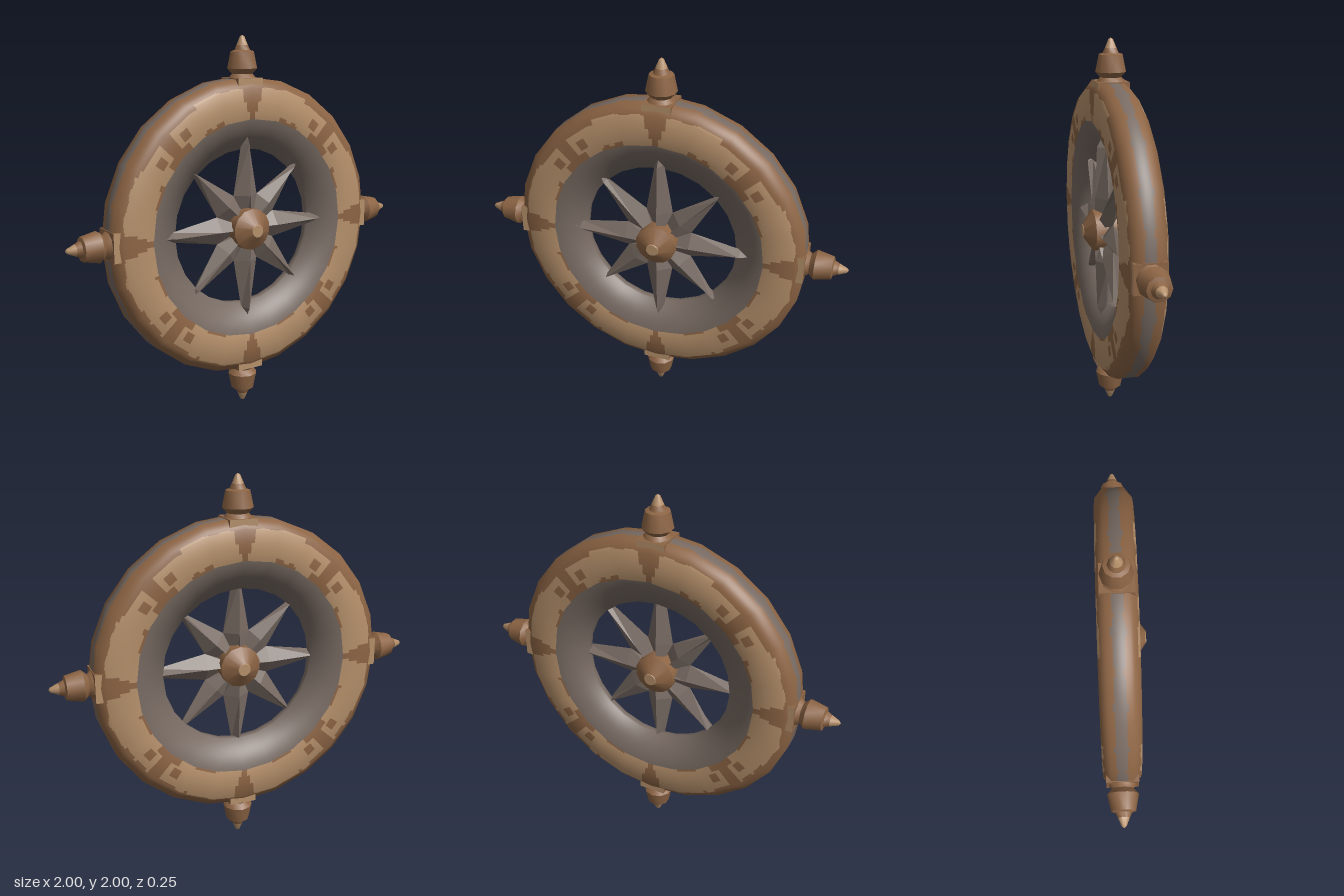
import * as THREE from 'three';
import { toCreasedNormals } from 'three/addons/utils/BufferGeometryUtils.js';

const mat = (name, color) => {
  const m = new THREE.MeshStandardMaterial({ color });
  m.name = name;
  return m;
};
const V = (x, y) => new THREE.Vector2(x, y);
const RING_Z = -0.027;
const DEG = Math.PI / 180;

// Which material (0 tan, 1 brown, 2 grey) a spot on the rim gets
function rimPaint(theta, r, z) {
  const deg = (((theta / DEG) % 90) + 90) % 90;
  const a = deg > 45 ? 90 - deg : deg; // degrees from the nearest handle
  const wobble = 0.004 * Math.sin(theta * 17) + 0.003 * Math.sin(theta * 41);
  if (r > 0.785) return Math.abs(z) < 0.028 + wobble ? 2 : 1;
  if (r < 0.58) return 2;
  const side = r * Math.sin(a * DEG);
  if (side < 0.022 + 0.045 * Math.max(0, (r - 0.61) / 0.13)) return 1;
  const dot = Math.hypot(r * Math.cos(a * DEG) - 0.53, side - 0.395);
  if (dot < 0.03) return 1;
  if (a > 42 - Math.abs(r - 0.68) * 12) return 1;
  const outer = (a > 27 ? 0.728 : 0.748) + wobble;
  const inner = a > 38 ? 0.62 : a > 17 && a < 29 ? 0.597 + wobble : 0.58;
  return r > outer || r < inner ? 1 : 0;
}

// 24-sided rim with a bevelled section, finely divided so it can be painted by rule
function rimGeometry() {
  const prof = [
    [0.79, -0.055], [0.79, 0.055], [0.738, 0.0975], [0.58, 0.0975],
    [0.42, 0.02], [0.42, -0.02], [0.58, -0.0975], [0.738, -0.0975],
  ].map(p => V(...p));
  const n = prof.length, sides = 24, subT = 10, subP = 12;
  const edge = prof.map((p, k) => {
    const d = prof[(k + 1) % n].clone().sub(p).normalize();
    return V(d.y, -d.x);
  });
  const corner = edge.map((e, k) => e.clone().add(edge[(k + n - 1) % n]).normalize());
  const rows = n * subP, cols = sides * subT;
  const pos = [], nor = [], faces = [[], [], []];
  for (let i = 0; i <= cols; i++) {
    const s = Math.floor(i / subT), f = (i % subT) / subT;
    const t0 = s * 2 * Math.PI / sides, t1 = (s + 1) * 2 * Math.PI / sides;
    const cx = THREE.MathUtils.lerp(Math.cos(t0), Math.cos(t1), f);
    const cy = THREE.MathUtils.lerp(Math.sin(t0), Math.sin(t1), f);
    const len = Math.hypot(cx, cy);
    for (let j = 0; j <= rows; j++) {
      const k = Math.floor(j / subP) % n, g = (j % subP) / subP;
      const p = prof[k].clone().lerp(prof[(k + 1) % n], g);
      const q = corner[k].clone().lerp(corner[(k + 1) % n], g).normalize();
      pos.push(p.x * cx, p.x * cy, p.y);
      nor.push(q.x * cx / len, q.x * cy / len, q.y);
      if (i === cols || j === rows) continue;
      const mid = prof[k].clone().lerp(prof[(k + 1) % n], g + 0.5 / subP);
      const a = i * (rows + 1) + j, b = a + rows + 1;
      faces[rimPaint((i + 0.5) / cols * 2 * Math.PI, mid.x, mid.y)]
        .push(a, b, a + 1, b, b + 1, a + 1);
    }
  }
  const geo = new THREE.BufferGeometry();
  geo.setAttribute('position', new THREE.Float32BufferAttribute(pos, 3));
  geo.setAttribute('normal', new THREE.Float32BufferAttribute(nor, 3));
  geo.setIndex(faces.flat());
  let start = 0;
  faces.forEach((list, m) => {
    geo.addGroup(start, list.length, m);
    start += list.length;
  });
  return geo;
}

// One ridged star point along +y
function spokeGeometry(long) {
  const valley = [0.19 * Math.sin(22.5 * DEG), 0.19 * Math.cos(22.5 * DEG)];
  const sections = long // half width, distance from hub, half thickness
    ? [[0, 0, 0.06], [...valley, 0.055], [0.025, 0.445, 0.045], [0.003, 0.495, 0.02]]
    : [[0, 0, 0.06], [...valley, 0.045], [0.012, 0.425, 0.03], [0.002, 0.445, 0.02]];
  const loops = sections.map(([w, y, d]) => [[w, y, 0], [0, y, d], [-w, y, 0], [0, y, -d]]);
  const pos = [];
  for (let k = 0; k < loops.length - 1; k++) {
    for (let c = 0; c < 4; c++) {
      const d = (c + 1) % 4;
      const [a, b, e, f] = [loops[k][c], loops[k][d], loops[k + 1][c], loops[k + 1][d]];
      pos.push(...a, ...e, ...b, ...b, ...e, ...f);
    }
  }
  const tip = loops[loops.length - 1];
  pos.push(...tip[0], ...tip[2], ...tip[1], ...tip[0], ...tip[3], ...tip[2]);
  const geo = new THREE.BufferGeometry();
  geo.setAttribute('position', new THREE.Float32BufferAttribute(pos, 3));
  geo.computeVertexNormals();
  return geo;
}

const lathe = (pts, sides) =>
  toCreasedNormals(new THREE.LatheGeometry(pts.map(p => V(...p)), sides), 0.68);

export function createModel() {
  const tan = mat('light wood', 0xb48f6a);
  const brown = mat('brown wood', 0x8c6444);
  const grey = mat('grey wood', 0x776a62);

  const model = new THREE.Group();
  model.name = 'shipWheel';
  const wheel = new THREE.Group();
  wheel.name = 'wheel';
  wheel.position.y = 1;
  model.add(wheel);
  const add = (parent, name, geo, material) => {
    const mesh = new THREE.Mesh(geo, material);
    mesh.name = name;
    parent.add(mesh);
    return mesh;
  };

  // Painted rim
  add(wheel, 'rim', rimGeometry(), [tan, brown, grey]).position.z = RING_Z;

  // Eight-pointed star
  const longSpoke = spokeGeometry(true), shortSpoke = spokeGeometry(false);
  for (let i = 0; i < 8; i++) {
    const spoke = add(wheel, 'starPoint', i % 2 ? shortSpoke : longSpoke, grey);
    spoke.rotation.z = i * Math.PI / 4;
  }

  // Hub with a light button on each face
  const hub = lathe([[0.035, -0.122], [0.11, -0.07], [0.11, 0.07], [0.035, 0.122]], 14);
  add(wheel, 'hub', hub.rotateX(Math.PI / 2), brown);
  for (const s of [1, -1]) {
    const cap = new THREE.CylinderGeometry(0.032, 0.036, 0.006, 14).rotateX(s * Math.PI / 2);
    add(wheel, 'hubButton', cap, tan).position.z = s * 0.122;
  }

  // Four turned handles on square collars
  const collar = new THREE.BoxGeometry(0.15, 0.04, 0.164);
  const body = lathe([[0.078, 0.77], [0.072, 0.785], [0.055, 0.805], [0.08, 0.832],
    [0.062, 0.918], [0.042, 0.924], [0.03, 0.95]], 10);
  const tip = lathe([[0.03, 0.95], [0.012, 0.992], [0, 1]], 10);
  for (let i = 0; i < 4; i++) {
    const handle = new THREE.Group();
    handle.name = 'handle';
    handle.position.z = RING_Z;
    handle.rotation.z = i * Math.PI / 2;
    add(handle, 'collar', collar, [brown, brown, brown, brown, tan, tan]).position.y = 0.765;
    add(handle, 'handleBody', body, brown);
    add(handle, 'handleTip', tip, tan);
    wheel.add(handle);
  }
  return model;
}
